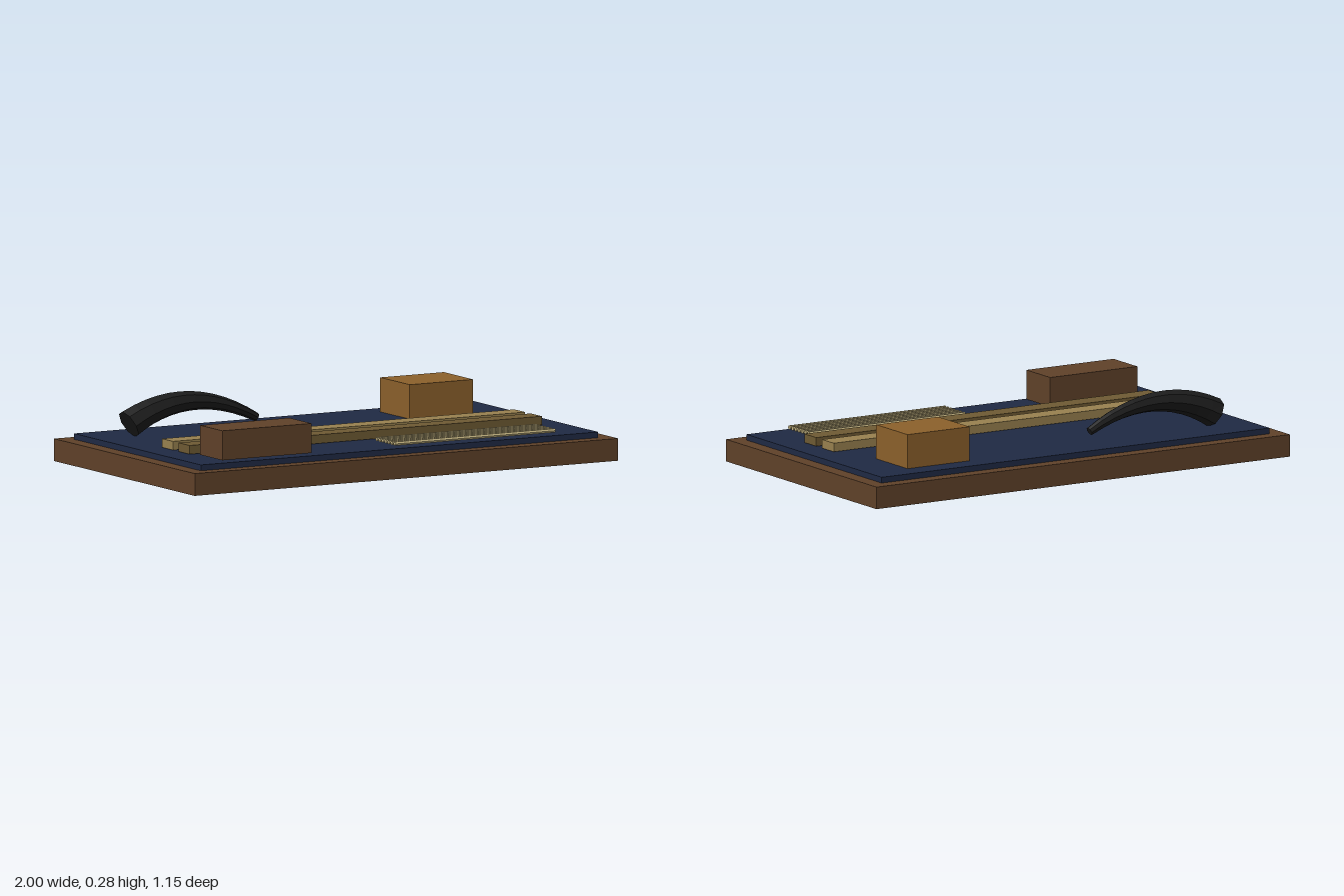
import * as THREE from 'three';

const material = (name, color, flat = false) => {
  const m = new THREE.MeshStandardMaterial({ color, flatShading: flat });
  m.name = name;
  return m;
};

// Tapered, arched horn: rings swept along a curve, capped at both ends
function hornGeometry(curve, r0, r1, steps, sides) {
  const pos = [], index = [];
  for (let i = 0; i <= steps; i++) {
    const t = i / steps, p = curve.getPoint(t), d = curve.getTangent(t);
    const r = r0 + (r1 - r0) * t;
    for (let j = 0; j < sides; j++) {
      const a = (j / sides) * Math.PI * 2;
      const up = Math.cos(a) * r, side = Math.sin(a) * r;
      pos.push(p.x - d.y * up, p.y + d.x * up, p.z + side);
    }
  }
  for (let i = 0; i < steps; i++) {
    for (let j = 0; j < sides; j++) {
      const k = (j + 1) % sides;
      const a = i * sides + j, b = i * sides + k, c = a + sides, d = b + sides;
      index.push(a, b, c, b, d, c);
    }
  }
  const last = steps * sides;
  for (let j = 1; j < sides - 1; j++) {
    index.push(0, j + 1, j, last, last + j, last + j + 1);
  }
  const g = new THREE.BufferGeometry();
  g.setAttribute('position', new THREE.Float32BufferAttribute(pos, 3));
  g.setIndex(index);
  g.computeVertexNormals();
  return g;
}

export function createModel() {
  const model = new THREE.Group();
  model.name = 'displayTray';

  const wood = material('darkWood', 0x5f4129);
  const cloth = material('navyCloth', 0x1f2a44);
  const paleWood = material('paleWood', 0x98814f);
  const oliveWood = material('oliveWood', 0x6e5a33);
  const amber = material('amberBlock', 0x8b602b);
  const hornBlack = material('hornBlack', 0x1c1c1c, true);
  const cord = material('cordBeige', 0xc2b280, true);
  hornBlack.side = THREE.DoubleSide;

  const add = (name, geometry, mat) => {
    const mesh = new THREE.Mesh(geometry, mat);
    mesh.name = name;
    model.add(mesh);
    return mesh;
  };
  // Box given by its limits on each axis
  const box = (name, mat, [x0, x1], [y0, y1], [z0, z1]) =>
    add(name, new THREE.BoxGeometry(x1 - x0, y1 - y0, z1 - z0), mat)
      .position.set((x0 + x1) / 2, (y0 + y1) / 2, (z0 + z1) / 2);

  // Board and cloth
  box('baseBoard', wood, [-1, 1], [0, 0.092], [-0.575, 0.575]);
  box('clothPad', cloth, [-0.938, 0.938], [0.092, 0.116], [-0.517, 0.517]);

  // Blocks and long slats
  box('amberBlock', amber, [0.455, 0.755], [0.116, 0.258], [-0.425, -0.185]);
  box('woodBlock', wood, [-0.817, -0.395], [0.122, 0.244], [0.302, 0.484]);
  box('paleSlat', paleWood, [-0.832, 0.832], [0.118, 0.154], [0.017, 0.106]);
  box('oliveSlat', oliveWood, [-0.832, 0.832], [0.118, 0.154], [0.151, 0.242]);

  // Row of seven thin cords
  for (let i = 0; i < 7; i++) {
    const g = new THREE.CylinderGeometry(0.009, 0.009, 0.755, 6);
    g.rotateZ(Math.PI / 2);
    add('cord' + (i + 1), g, cord).position.set(0.3775, 0.131, 0.332 + i * 0.0245);
  }

  // Arched horn
  const arch = new THREE.QuadraticBezierCurve3(
    new THREE.Vector3(-0.785, 0.166, -0.334),
    new THREE.Vector3(-0.5, 0.325, -0.334),
    new THREE.Vector3(-0.183, 0.152, -0.334));
  add('horn', hornGeometry(arch, 0.062, 0.018, 12, 8), hornBlack);

  return model;
}
